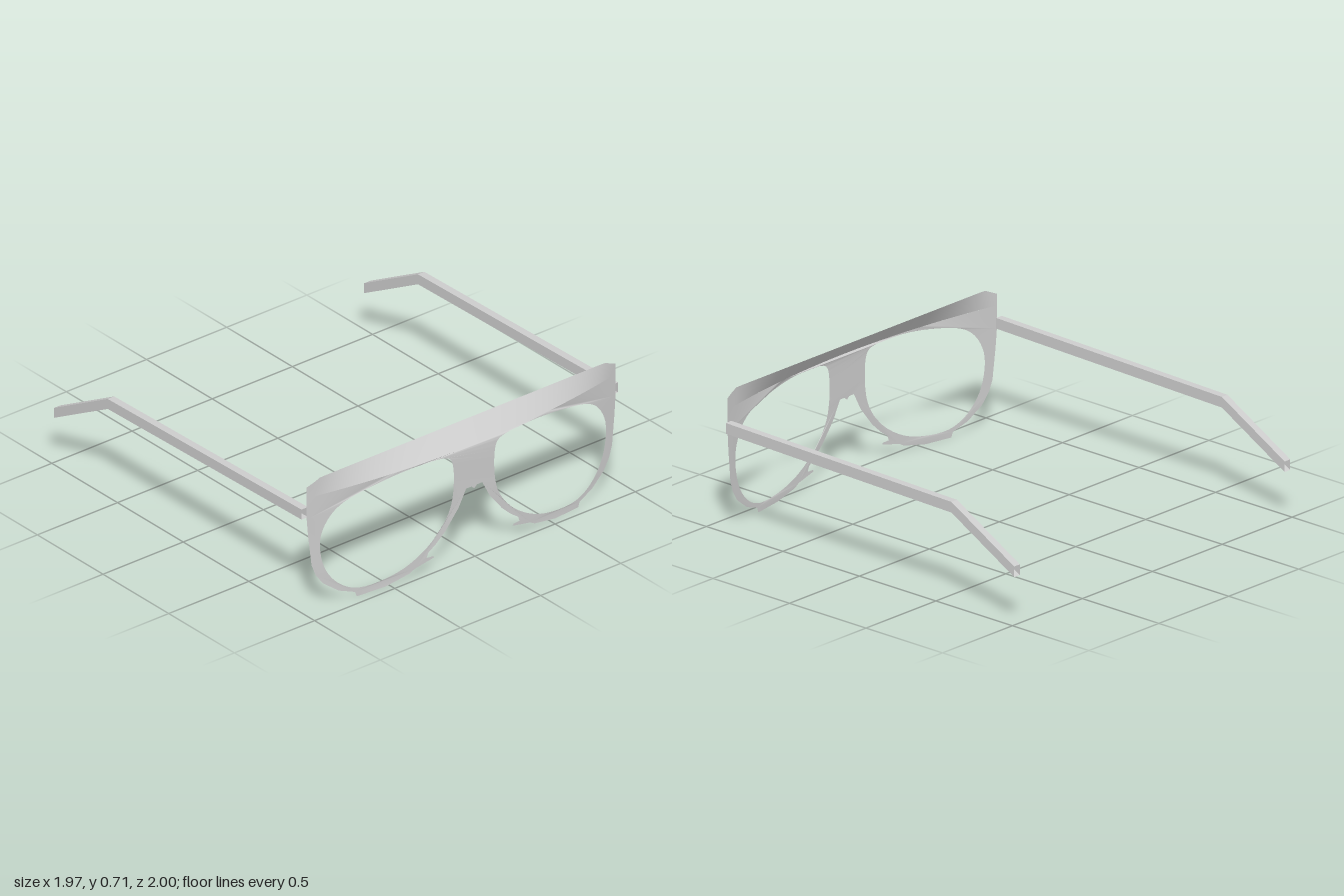
import * as THREE from 'three';

const grey = new THREE.MeshStandardMaterial({ color: 0xcccccc, side: THREE.DoubleSide });
grey.name = 'light grey';

const BROW = 0.618; // height where the flat front turns into the sloped brim
const bow = (x) => 0.995 - 0.108 * x * x; // curve of the front seen from above
const mirror = (points) => points.map(([x, y]) => [-x, y]);
const vectors = (points) => points.map(([x, y]) => new THREE.Vector2(x, y));

function add(group, geometry, name) {
  const mesh = new THREE.Mesh(geometry, grey);
  mesh.name = name;
  group.add(mesh);
}

// Open quad strip between rows of equal length
function loft(rows) {
  const n = rows[0].length;
  const index = [];
  for (let i = 0; i < rows.length - 1; i++) {
    for (let j = 0; j < n - 1; j++) {
      const a = i * n + j, b = a + 1, c = a + n, d = c + 1;
      index.push(a, b, d, a, d, c);
    }
  }
  const geometry = new THREE.BufferGeometry();
  geometry.setAttribute('position', new THREE.Float32BufferAttribute(rows.flat(2), 3));
  geometry.setIndex(index);
  return geometry;
}

// Thin bowed front with two lens openings
function frontGeometry() {
  // Outer edge of one half, from the nose notch round to the brow
  const edge = [[0.018, 0.39], [0.05, 0.39], [0.097, 0.3], [0.176, 0.2], [0.235, 0.145],
    [0.28, 0.113], [0.29, 0.087], [0.25, 0.085], [0.245, 0.076], [0.36, 0.05], [0.39, 0.033],
    [0.53, 0.005], [0.69, 0], [0.7, 0.027], [0.79, 0.06], [0.876, 0.124], [0.915, 0.18],
    [0.937, 0.24], [0.955, 0.4], [0.963, 0.5]];
  const brow = [];
  for (let i = 0; i <= 40; i++) brow.push([0.963 - 1.926 * i / 40, BROW]);
  const shape = new THREE.Shape(vectors([[0, 0.375], ...edge, ...brow, ...mirror(edge).reverse()]));

  const lens = [[0.2, 0.606], [0.32, 0.612], [0.43, 0.608], [0.58, 0.588], [0.755, 0.545],
    [0.834, 0.49], [0.887, 0.39], [0.885, 0.27], [0.845, 0.165], [0.77, 0.085], [0.676, 0.045],
    [0.52, 0.05], [0.387, 0.087], [0.255, 0.17], [0.17, 0.27], [0.134, 0.366], [0.13, 0.54], [0.15, 0.588]];
  for (const outline of [lens, mirror(lens)]) {
    const curve = new THREE.CatmullRomCurve3(
      outline.map(([x, y]) => new THREE.Vector3(x, y, 0)), true);
    const points = curve.getPoints(72).slice(0, -1);
    shape.holes.push(new THREE.Path(points.map((p) => new THREE.Vector2(p.x, p.y))));
  }
  const geometry = new THREE.ShapeGeometry(shape);
  const position = geometry.attributes.position;
  for (let i = 0; i < position.count; i++) position.setZ(i, bow(position.getX(i)));
  geometry.computeVertexNormals();
  return geometry;
}

// Brim leaning back from the bowed brow to a straight top edge
function brimGeometry() {
  const low = [], high = [];
  for (let i = 0; i <= 52; i++) {
    const x = -0.963 + 1.926 * i / 52;
    const corner = Math.max(0, Math.abs(x) - 0.887) / 0.076;
    low.push([x, BROW, bow(x)]);
    high.push([x, 0.712 - 0.034 * corner, Math.min(bow(x), 0.905)]);
  }
  const geometry = loft([low, high]);
  geometry.computeVertexNormals();
  return geometry;
}

// Hollow square temple with a bent ear end
function templeGeometry(side) {
  const stations = [[0.885, 0.505], [-0.59, 0.475], [-1, 0.247]]; // z, underside y
  const rows = stations.map(([z, y]) => {
    const inner = side * 0.947, outer = side * 0.987, top = y + 0.055;
    const ring = [[inner, y, z], [inner, top, z], [outer, top, z], [outer, y, z], [inner, y, z]];
    return side > 0 ? ring.reverse() : ring;
  });
  const geometry = loft(rows.reverse()).toNonIndexed();
  geometry.computeVertexNormals();
  return geometry;
}

export function createModel() {
  const model = new THREE.Group();
  model.name = 'glasses';
  add(model, frontGeometry(), 'lensFrame');
  add(model, brimGeometry(), 'browBrim');
  add(model, templeGeometry(1), 'leftTemple');
  add(model, templeGeometry(-1), 'rightTemple');
  return model;
}
